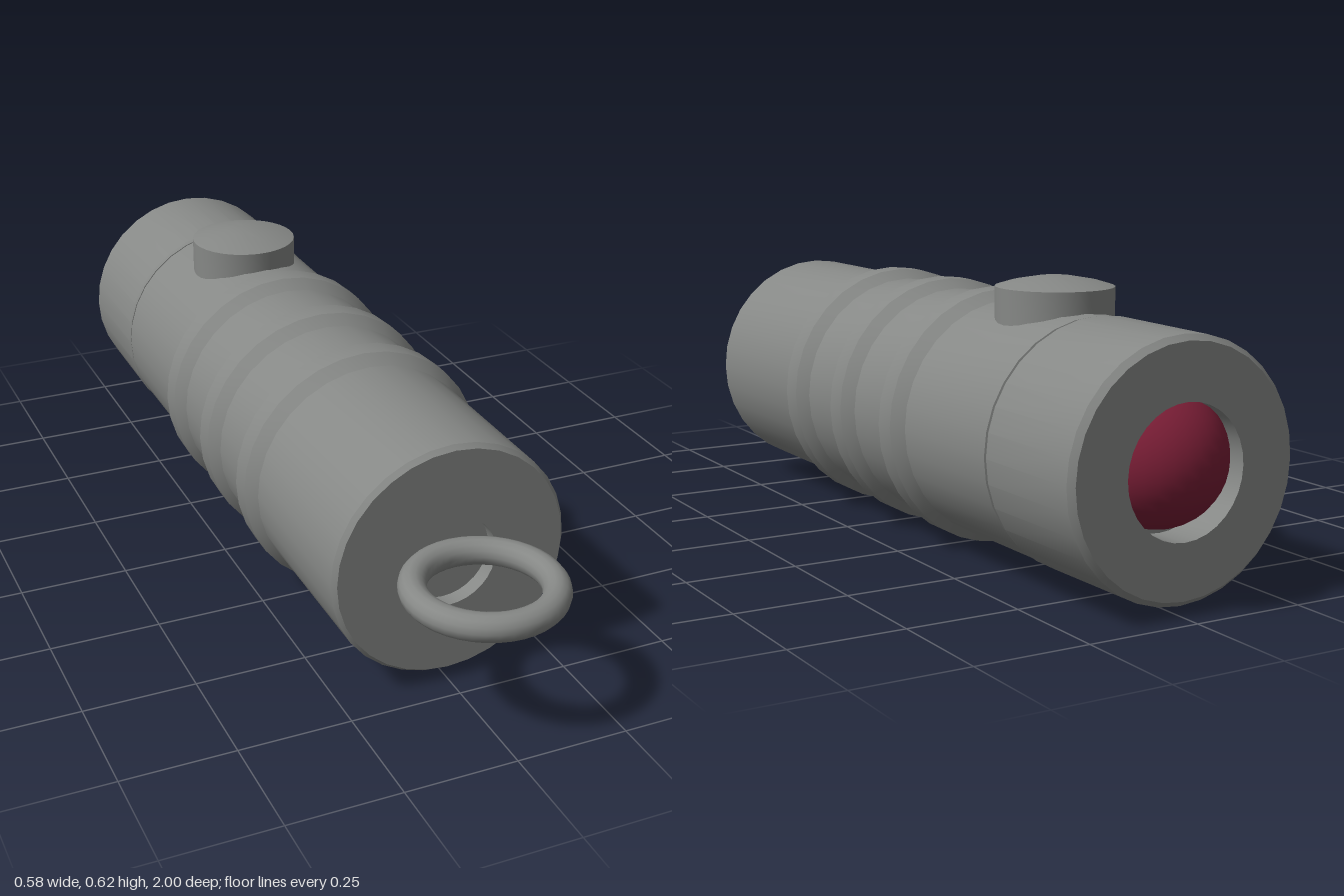
import * as THREE from 'three';
import { toCreasedNormals } from 'three/addons/utils/BufferGeometryUtils.js';

const metal = new THREE.MeshStandardMaterial({ color: 0x868886 });
metal.name = 'grey metal';
const glass = new THREE.MeshStandardMaterial({ color: 0x7a1e36 });
glass.name = 'red glass';

const AXIS = 0.29; // height of the barrel axis

// Spins [radius, height] points around y, keeping hard edges sharp
function turned(points, sides) {
  const profile = points.map(([r, h]) => new THREE.Vector2(r, h));
  return toCreasedNormals(new THREE.LatheGeometry(profile, sides), 0.5);
}

function add(group, name, geometry, material, x, y, z) {
  const mesh = new THREE.Mesh(geometry, material);
  mesh.name = name;
  mesh.position.set(x, y, z);
  group.add(mesh);
}

export function createModel() {
  const group = new THREE.Group();
  group.name = 'torch';

  // Head: recessed lens opening at the back end, bevelled rim
  const head = [
    [0, -0.87], [0.138, -0.87], [0.138, -0.955], [0.256, -0.955],
    [0.268, -0.942], [0.27, -0.66], [0.266, -0.652], [0.255, -0.652],
  ];
  add(group, 'head', turned(head, 32).rotateX(Math.PI / 2), metal, 0, AXIS, 0);

  // Barrel: three raised grip ribs, shallow recess at the front end
  const barrel = [[0.255, -0.65], [0.267, -0.646]];
  for (const z of [-0.26, -0.02, 0.22]) {
    barrel.push([0.267, z - 0.056], [0.288, z - 0.026], [0.288, z + 0.026], [0.267, z + 0.056]);
  }
  barrel.push([0.267, 0.678], [0.258, 0.69], [0.103, 0.69], [0.103, 0.655], [0, 0.655]);
  add(group, 'barrel', turned(barrel, 32).rotateX(Math.PI / 2), metal, 0, AXIS, 0);

  // Lens bulging out of the head
  add(group, 'lens', new THREE.SphereGeometry(0.145, 32, 20), glass, 0, 0.305, -0.855);

  // Push button with a domed top
  const button = [
    [0, 0.5], [0.128, 0.5], [0.128, 0.603], [0.095, 0.613], [0.04, 0.623], [0, 0.624],
  ];
  add(group, 'button', turned(button, 32), metal, -0.007, 0, -0.48);

  // Hanging ring
  const ring = new THREE.TorusGeometry(0.145, 0.03, 14, 40).rotateX(Math.PI / 2);
  add(group, 'hangingRing', ring, metal, 0.004, 0.305, 0.825);

  return group;
}
